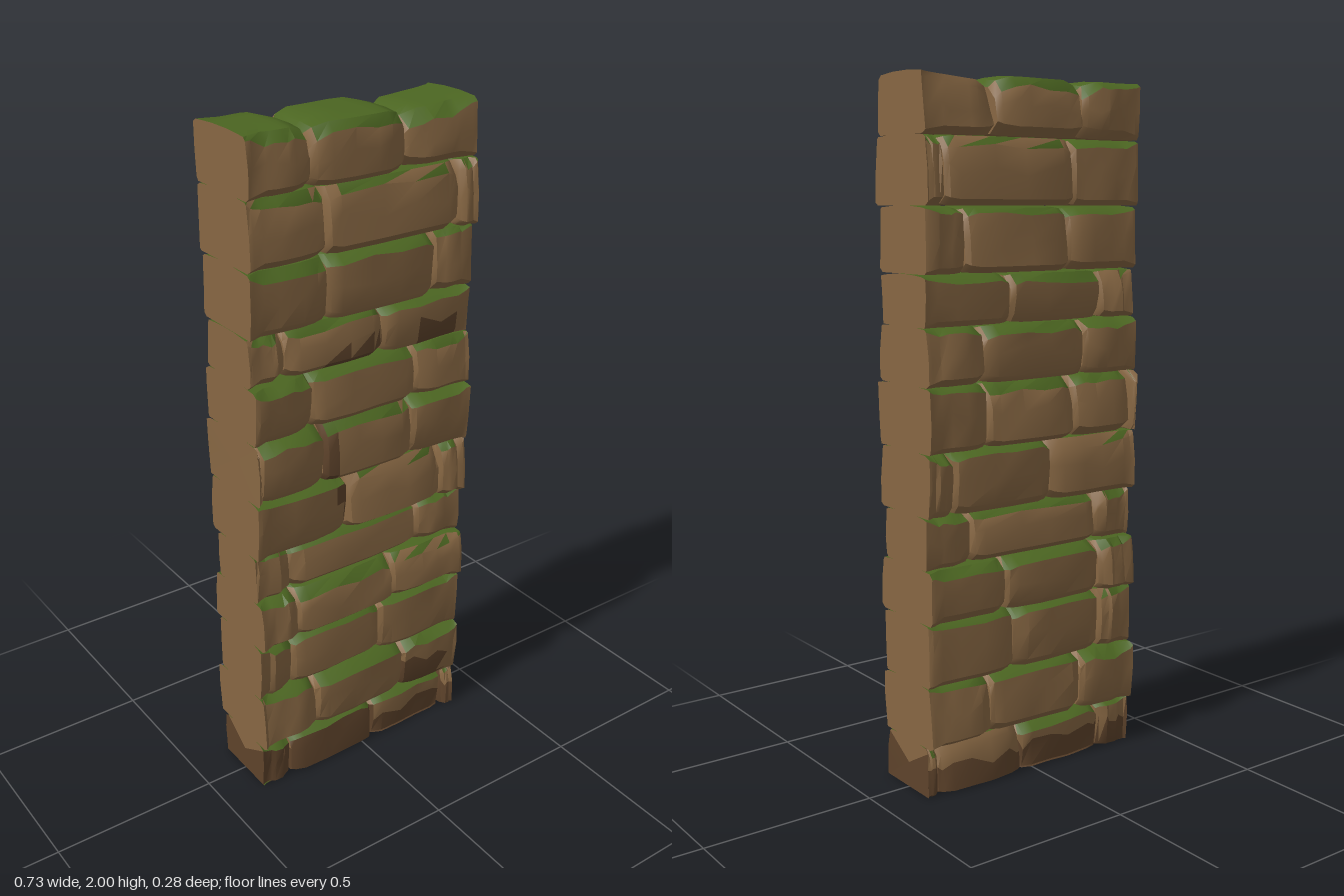
import * as THREE from 'three';
import { toCreasedNormals } from 'three/addons/utils/BufferGeometryUtils.js';

const HALF = 0.367; // half width of the wall

// each course: bottom, top, front depth, back depth, joints between its stones
const COURSES = [
  [0, 0.148, 0.112, 0.104, [-0.26, 0.04, 0.325]],
  [0.146, 0.325, 0.128, 0.128, [-0.175, 0.155]],
  [0.323, 0.508, 0.115, 0.119, [-0.25, 0.07]],
  [0.506, 0.662, 0.131, 0.131, [-0.24, 0.105]],
  [0.66, 0.81, 0.106, 0.104, [-0.245, 0.21]],
  [0.808, 0.988, 0.124, 0.127, [-0.06, 0.28]],
  [0.986, 1.169, 0.128, 0.128, [-0.355, -0.14, 0.165]],
  [1.167, 1.329, 0.128, 0.126, [-0.18, 0.175]],
  [1.327, 1.468, 0.109, 0.105, [-0.25, 0.07]],
  [1.469, 1.65, 0.12, 0.123, [-0.12, 0.235]],
  [1.65, 1.838, 0.13, 0.129, [-0.13, 0.305]],
  [1.836, 2, 0.129, 0.13, [-0.17, 0.13]],
];
const TOP = COURSES.length - 1;

function seeded(seed) {
  let s = seed;
  return (a, b) => {
    s = (s * 16807) % 2147483647;
    return a + (b - a) * (s / 2147483647);
  };
}

// A worn block: chamfered cross-sections lofted along x, cut flat where it meets a wall end
function stoneGeometry(o, rand) {
  const { x0, x1, y0, y1, front, back, ground, crown, slope } = o;
  const cutL = x0 <= -HALF, cutR = x1 >= HALF;
  const len = x1 - x0, e = Math.min(crown ? 0.045 : 0.032, len * 0.22);
  // x position, shrink and corner size of each loop
  const loops = [
    [x0, cutL ? 0 : 1, cutL ? 0.45 : 1.3],
    [x0 + e * 0.35, cutL ? 0 : 0.4, cutL ? 0.6 : 1.15],
    [x0 + e * 1.3, 0, 1],
    [x0 + len * rand(0.36, 0.42), -0.15, 1],
    [x0 + len * rand(0.6, 0.66), -0.15, 1],
    [x1 - e * 1.3, 0, 1],
    [x1 - e * 0.35, cutR ? 0 : 0.4, cutR ? 0.6 : 1.15],
    [x1, cutR ? 0 : 1, cutR ? 0.45 : 1.3],
  ];
  // corner sizes at front and back, and how far each face leans
  const run = [0, 1].map(() => rand(0.022, 0.045)), drop = [0, 1].map(() => rand(0.02, 0.034));
  const low = [0, 1].map(() => (ground ? 0.004 : rand(0.014, 0.026)));
  const lean = [0, 1].map(() => rand(-0.007, 0.007));
  const sag = crown ? 0.03 : 0.007;
  const pts = [], N = 12;
  for (const [x, shrink, k] of loops) {
    const s = Math.max(shrink, 0);
    const top = y1 - s * sag - slope * (x1 - x) / len, bot = y0 + (ground ? 0 : s * 0.005);
    const f = Math.min(front - shrink * 0.022 + rand(-0.004, 0.004), 0.134);
    const r = Math.min(back - shrink * 0.022 + rand(-0.004, 0.004), 0.136);
    const d0 = drop[0] * k * rand(0.75, 1.25), d1 = drop[1] * k * rand(0.75, 1.25);
    const mid = (top + bot) / 2 + rand(-0.02, 0.02);
    const section = [
      [f - low[0] * k, bot], [f + lean[0], bot + low[0] * k], [f + rand(-0.003, 0.005), mid],
      [f - lean[0] - 0.004, top - d0], [f - run[0] * k, top - 0.005], [f * 0.3, top],
      [-r * 0.3, top], [-r + run[1] * k, top - 0.005], [-r + lean[1] + 0.004, top - d1],
      [-r - rand(-0.003, 0.005), mid], [-r - lean[1], bot + low[1] * k], [-r + low[1] * k, bot],
    ];
    for (const [z, y] of section) pts.push(new THREE.Vector3(x, y, z));
  }
  const faces = [];
  for (let i = 0; i < loops.length - 1; i++) {
    for (let j = 0; j < N; j++) {
      const p = i * N + j, q = i * N + ((j + 1) % N);
      faces.push([p, p + N, q + N], [p, q + N, q]);
    }
  }
  // end caps fan out from a centre point
  const last = (loops.length - 1) * N, centre = pts.length;
  for (const x of [x0, x1]) pts.push(new THREE.Vector3(x, (y0 + y1) / 2, 0));
  for (let j = 0; j < N; j++) {
    const k = (j + 1) % N;
    faces.push([centre, j, k], [centre + 1, last + k, last + j]);
  }
  // sort faces into bare stone, moss on upward slopes, and damp stone
  const isDamp = (n, c) => {
    if (!ground) return n.z > 0.3 && o.damp && o.damp(c.x, c.y);
    if (Math.abs(n.x) > 0.8) return c.y < 0.06 || Math.abs(c.z) > 0.066;
    return n.y < -0.5 || c.y < 0.06 || (c.x < 0.04 && n.z > 0.3);
  };
  const bins = [[], [], []], tri = new THREE.Triangle(), n = new THREE.Vector3(), c = new THREE.Vector3();
  for (const face of faces) {
    tri.set(pts[face[0]], pts[face[1]], pts[face[2]]);
    tri.getNormal(n);
    tri.getMidpoint(c);
    const bin = n.y > (crown ? 0.5 : 0.6) ? 1 : isDamp(n, c) ? 2 : 0;
    bins[bin].push(...face);
  }
  const geo = new THREE.BufferGeometry();
  geo.setAttribute('position', new THREE.Float32BufferAttribute(pts.flatMap((p) => p.toArray()), 3));
  geo.setIndex(bins.flat());
  const out = toCreasedNormals(geo, 0.6);
  let start = 0;
  bins.forEach((list, m) => {
    if (list.length) out.addGroup(start, list.length, m);
    start += list.length;
  });
  return out;
}

// damp patches, by course and stone
const DAMP = {
  '1-2': (x, y) => x < 0.31 && y < 0.25,
  '5-0': (x, y) => x > -0.1 && y > 0.88,
  '6-2': (x) => x < -0.08,
  '8-1': (x, y) => x > -0.15 && y < 1.37,
  '8-2': (x, y) => x > 0.2 && x < 0.32 && y < 1.4,
};

export function createModel() {
  const wall = new THREE.Group();
  wall.name = 'stoneWall';
  const stone = new THREE.MeshStandardMaterial({ color: 0x876743 });
  stone.name = 'brown stone';
  const moss = new THREE.MeshStandardMaterial({ color: 0x4b6521 });
  moss.name = 'green moss';
  const damp = new THREE.MeshStandardMaterial({ color: 0x5e432b });
  damp.name = 'damp dark stone';
  const rand = seeded(4711);

  COURSES.forEach(([y0, y1, front, back, joints], row) => {
    const course = new THREE.Group();
    course.name = `course${row + 1}`;
    const xs = [-HALF, ...joints, HALF];
    for (let i = 0; i < xs.length - 1; i++) {
      const crown = row === TOP;
      const lowEnd = crown && i === 2; // the last top stone is narrower and tilted
      const inset = lowEnd ? 0.016 : 0;
      const geo = stoneGeometry({
        x0: xs[i], x1: xs[i + 1], y0, y1,
        front: front - inset + rand(-0.006, 0.004), back: back - inset + rand(-0.006, 0.004),
        ground: row === 0, crown, slope: lowEnd ? 0.018 : 0,
        damp: DAMP[`${row}-${i}`],
      }, rand);
      const mesh = new THREE.Mesh(geo, [stone, moss, damp]);
      mesh.name = `stone${i + 1}`;
      course.add(mesh);
    }
    wall.add(course);
  });
  return wall;
}
